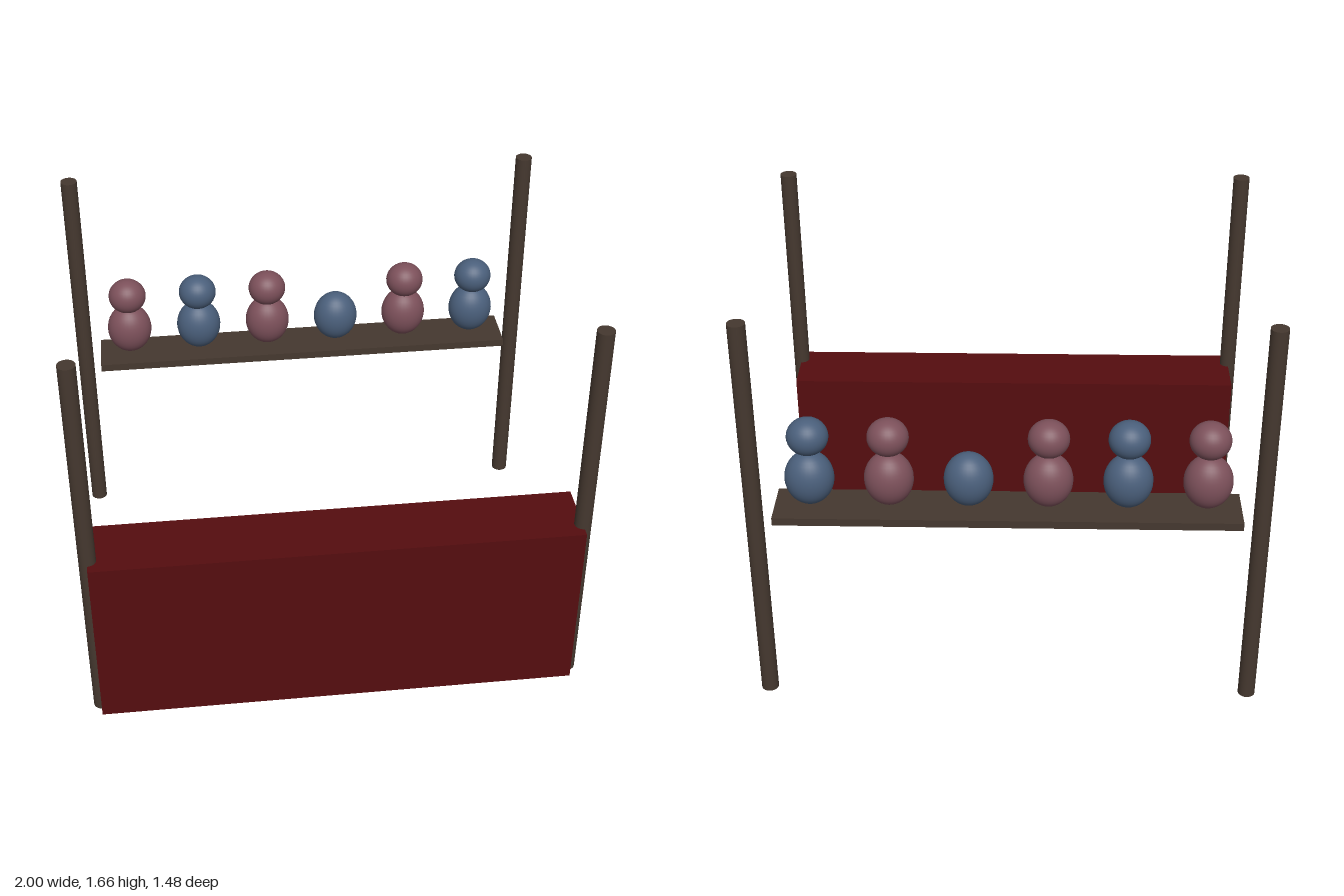
import * as THREE from 'three';

export function createModel() {
  const model = new THREE.Group();
  const mat = (name, color) => {
    const m = new THREE.MeshStandardMaterial({ color });
    m.name = name;
    return m;
  };
  const wood = mat('dark wood', 0x45382f);
  const red = mat('deep red', 0x550d0f);
  const pink = mat('dusty rose', 0x7c505a);
  const blue = mat('slate blue', 0x4a5f7b);

  const add = (name, geometry, material, x, y, z, parent = model) => {
    const mesh = new THREE.Mesh(geometry, material);
    mesh.name = name;
    mesh.position.set(x, y, z);
    parent.add(mesh);
    return mesh;
  };

  // Four corner posts
  const post = new THREE.CylinderGeometry(0.034, 0.034, 1.66, 24);
  for (const x of [-0.966, 0.966]) {
    add('frontPost', post, wood, x, 0.83, 0.672);
    add('backPost', post, wood, x, 0.83, -0.706);
  }

  // Counter at the front, prize shelf at the back
  add('counter', new THREE.BoxGeometry(1.932, 0.76, 0.274), red, 0, 0.38, 0.603);
  add('shelf', new THREE.BoxGeometry(1.79, 0.032, 0.206), wood, 0, 0.83, -0.638);

  // Row of plush prizes; the fourth has no head
  const ball = new THREE.SphereGeometry(1, 32, 20);
  for (let i = 0; i < 6; i++) {
    const prize = new THREE.Group();
    prize.name = 'prize';
    prize.position.set(-0.76 + i * 0.303, 0, 0);
    model.add(prize);
    const colour = i % 2 ? blue : pink;
    add('body', ball, colour, 0, 0.969, -0.637, prize).scale.set(0.095, 0.111, 0.083);
    if (i !== 3) {
      add('head', ball, colour, 0, 1.14, -0.621, prize).scale.set(0.08, 0.075, 0.075);
    }
  }

  return model;
}
